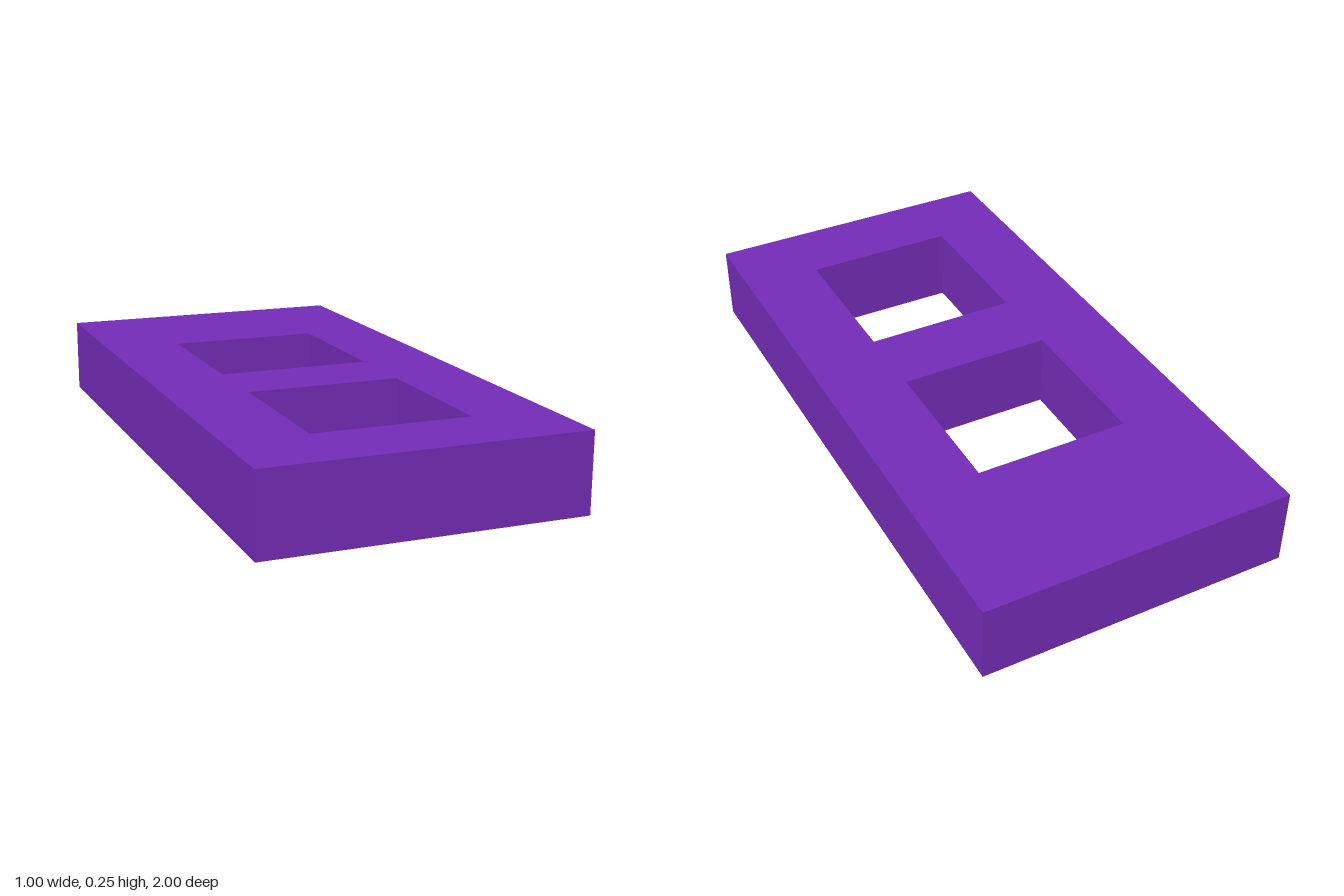
import * as THREE from 'three';

// Rectangle outline from its centre and size
function rectangle(PathType, cx, cy, w, h) {
  const path = new PathType();
  path.moveTo(cx - w / 2, cy - h / 2);
  path.lineTo(cx + w / 2, cy - h / 2);
  path.lineTo(cx + w / 2, cy + h / 2);
  path.lineTo(cx - w / 2, cy + h / 2);
  path.closePath();
  return path;
}

export function createModel() {
  const group = new THREE.Group();
  group.name = 'slabWithWindows';

  // Plate outline, drawn in x and -z
  const outline = rectangle(THREE.Shape, 0, 0, 1, 2);

  // Two square through-holes, given by their centre z
  for (const z of [-0.25, 0.5]) {
    outline.holes.push(rectangle(THREE.Path, 0, -z, 0.5, 0.5));
  }

  // Extrude the plate and lay it flat on the ground
  const geometry = new THREE.ExtrudeGeometry(outline, { depth: 0.25, bevelEnabled: false });
  geometry.rotateX(-Math.PI / 2);

  const plate = new THREE.Mesh(
    geometry,
    new THREE.MeshStandardMaterial({ color: 0x742cb6 })
  );
  plate.name = 'plate';
  group.add(plate);

  return group;
}
